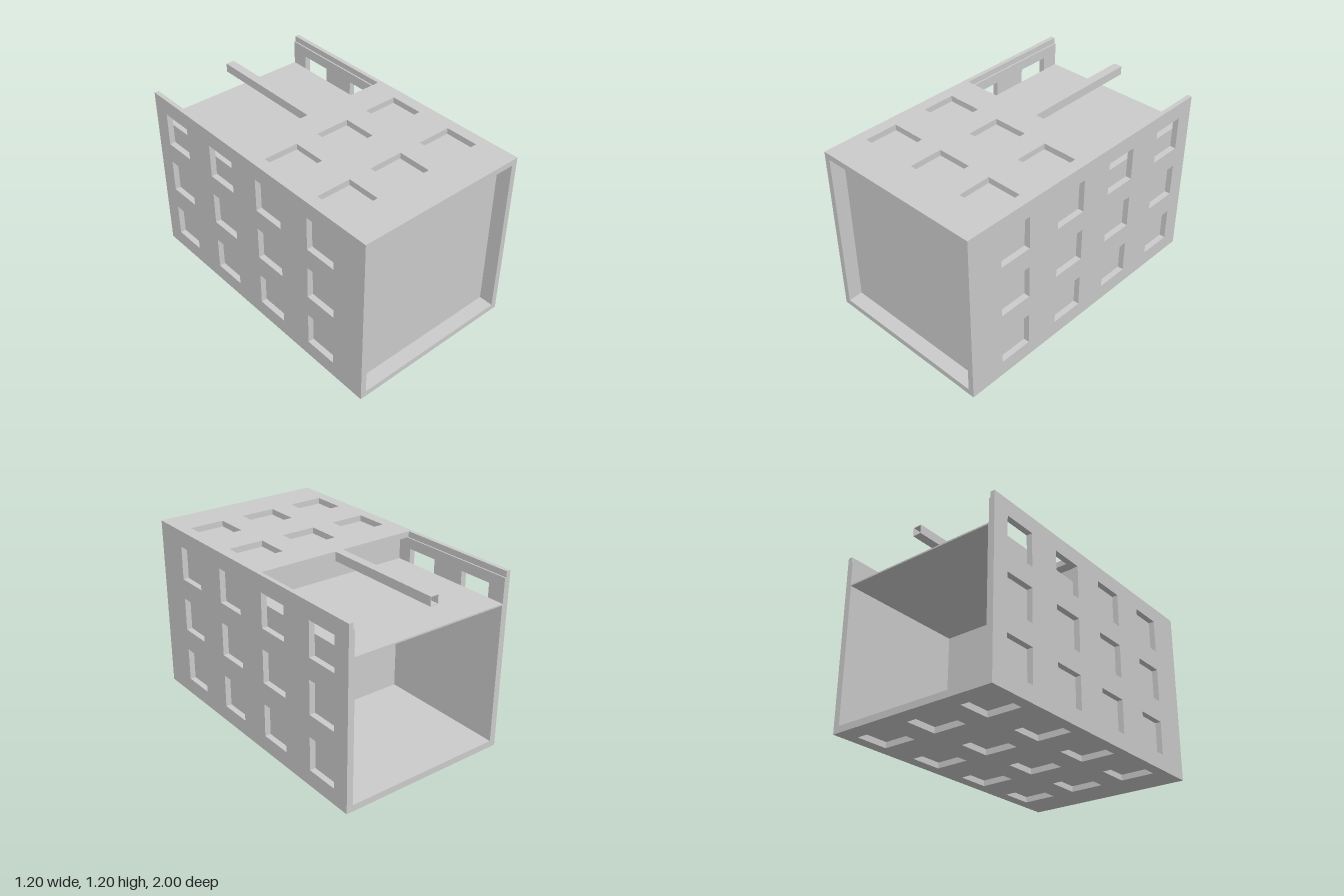
import * as THREE from 'three';

const T = 0.04; // skin thickness
const material = new THREE.MeshStandardMaterial({ color: 0xcccccc, side: THREE.DoubleSide });

// window spans
const zSpans = [[0.52, 0.75], [0.05, 0.28], [-0.41, -0.18], [-0.88, -0.65]];
const ySpans = [[0.11, 0.34], [0.49, 0.72], [0.86, 1.09]];
const xSpans = [[-0.52, -0.28], [-0.12, 0.12], [0.28, 0.52]];

function rect(Path, [u0, u1], [v0, v1]) {
  const p = new Path();
  p.moveTo(u0, v0).lineTo(u1, v0).lineTo(u1, v1).lineTo(u0, v1).closePath();
  return p;
}

// flat plate pierced by a grid of windows
function plate(shape, us, vs, depth = T) {
  for (const u of us) for (const v of vs) shape.holes.push(rect(THREE.Path, u, v));
  return new THREE.ExtrudeGeometry(shape, { depth, bevelEnabled: false });
}

export function createModel() {
  const model = new THREE.Group();
  const add = (name, geometry) => {
    const mesh = new THREE.Mesh(geometry, material);
    mesh.name = name;
    model.add(mesh);
  };
  const box = (name, [x0, x1], [y0, y1], [z0, z1]) =>
    add(name, new THREE.BoxGeometry(x1 - x0, y1 - y0, z1 - z0)
      .translate((x0 + x1) / 2, (y0 + y1) / 2, (z0 + z1) / 2));

  // side walls with four by three windows
  const flipped = zSpans.map(([a, b]) => [-b, -a]);
  for (const [name, x] of [['leftWall', 0.56], ['rightWall', -0.6]]) {
    const shape = rect(THREE.Shape, [-1, 1], [T, 1.2 - T]);
    add(name, plate(shape, flipped, ySpans).rotateY(Math.PI / 2).translate(x, 0, 0));
  }

  // floor with three by four windows
  add('floor', plate(rect(THREE.Shape, [-0.6, 0.6], [-1, 1]), xSpans, zSpans)
    .rotateX(Math.PI / 2).translate(0, T, 0));

  // roof, cut open at the back between two side rails
  const roof = new THREE.Shape([
    [-0.6, -1], [-0.57, -1], [-0.57, -0.15], [0.57, -0.15],
    [0.57, -1], [0.6, -1], [0.6, 1], [-0.6, 1],
  ].map(([x, z]) => new THREE.Vector2(x, z)));
  add('roof', plate(roof, xSpans, zSpans.slice(0, 2))
    .rotateX(Math.PI / 2).translate(0, 1.2, 0));

  // hollow centre beam over the open back
  const beam = rect(THREE.Shape, [-0.03, 0.03], [1.14, 1.2]);
  add('roofBeam', plate(beam, [[-0.026, 0.026]], [[1.144, 1.196]], 0.85).translate(0, 0, -1));

  // closed front compartment, set back inside the front frame
  box('frontCompartment', [-0.56, 0.56], [T, 1.2 - T], [-0.08, 0.9]);

  // rear compartment, open to the back
  box('rearDeck', [-0.56, 0.56], [0.985, 0.995], [-1, -0.08]);
  box('rearFloorLining', [-0.56, 0.56], [T, T + 0.004], [-1, -0.08]);
  for (const [name, s] of [['leftLining', 1], ['rightLining', -1]]) {
    const xs = [s * 0.556, s * 0.56].sort((a, b) => a - b);
    box(name, xs, [T, 0.99], [-1, -0.08]);
  }
  return model;
}
